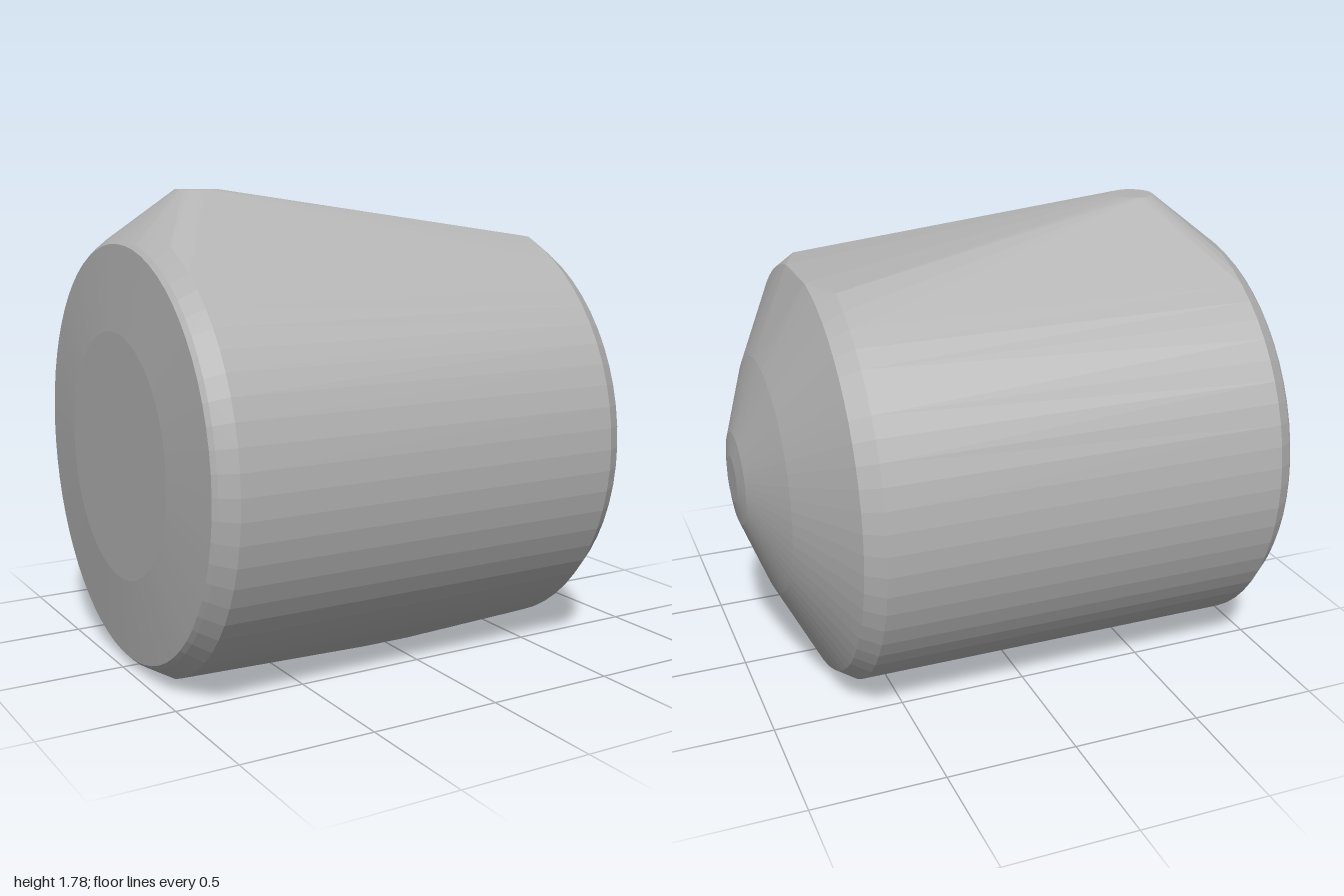
import * as THREE from 'three';
import { ConvexGeometry } from 'three/addons/geometries/ConvexGeometry.js';

const AXIS_Y = 0.812;

// Ring of points around the x axis, trimmed flat above and below
function ring(x, radius, segments = 64, low = 0.02, high = 1.59) {
  const points = [];
  const add = (y, z) => points.push(new THREE.Vector3(x, y, z));
  for (let i = 0; i < segments; i++) {
    const a = (i / segments) * Math.PI * 2;
    const y = AXIS_Y + radius * Math.cos(a);
    if (y >= low && y <= high) add(y, radius * Math.sin(a));
  }
  for (const y of [low, high]) {
    const half = Math.sqrt(Math.max(0, radius ** 2 - (y - AXIS_Y) ** 2));
    if (half > 0) { add(y, half); add(y, -half); }
  }
  return points;
}

// Level disc of points
function disc(x, y, radius, segments) {
  return Array.from({ length: segments }, (_, i) => {
    const a = (i / segments) * Math.PI * 2;
    return new THREE.Vector3(x + radius * Math.cos(a), y, radius * Math.sin(a));
  });
}

export function createModel() {
  const group = new THREE.Group();
  group.name = 'roundedHousing';
  const grey = new THREE.MeshStandardMaterial({ color: 0xb2b2b2 });
  grey.name = 'grey';

  // Barrel and domed end: x position and radius of each ring
  const profile = [
    [-1, 0.46], [-0.975, 0.775], [-0.96, 0.79], [-0.9, 0.835],
    [0.645, 0.835], [0.715, 0.79], [0.88, 0.46], [0.985, 0.18], [1, 0.09],
  ];
  const points = profile.flatMap(([x, r]) => ring(x, r));

  // Small knob on top and shallow foot below, both wrapped into the skin
  points.push(...disc(-0.66, 1.78, 0.08, 24));
  for (const x of [-0.1, 0.1]) {
    for (const z of [-0.27, 0.27]) points.push(new THREE.Vector3(x, 0, z));
  }

  const shell = new THREE.Mesh(new ConvexGeometry(points), grey);
  shell.name = 'shell';
  group.add(shell);
  return group;
}
